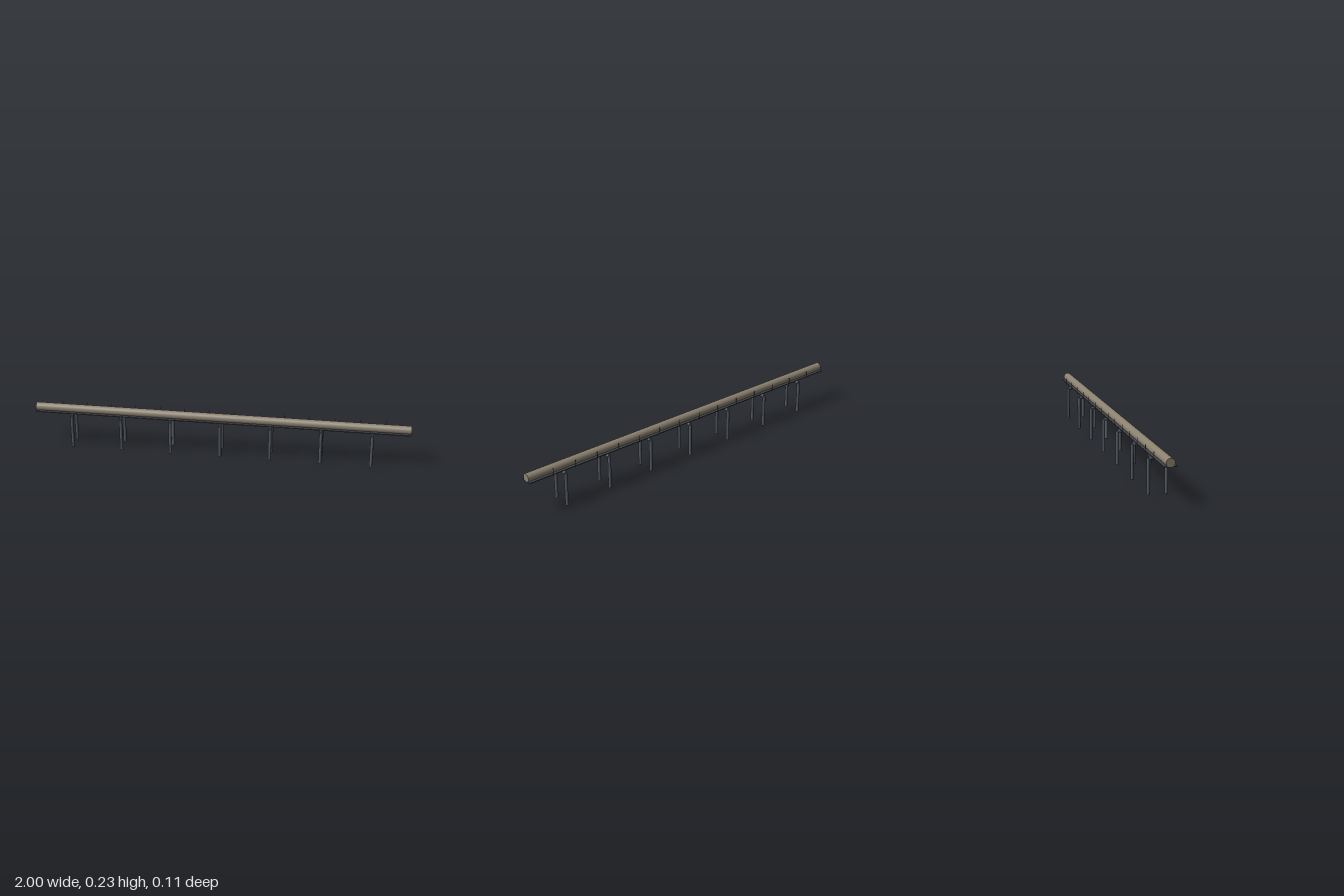
import * as THREE from 'three';

const mat = (color) => new THREE.MeshStandardMaterial({ color });

export function createModel() {
  const model = new THREE.Group();
  model.name = 'pipeRack';
  const pipeMat = mat(0x8b8170), steel = mat(0x555a64), railMat = mat(0x45474a), pinMat = mat(0x55554f);

  const add = (parent, name, geometry, material, x, y, z) => {
    const mesh = new THREE.Mesh(geometry, material);
    mesh.name = name;
    mesh.position.set(x, y, z);
    parent.add(mesh);
    return mesh;
  };

  // long pipe along x
  add(model, 'pipe', new THREE.CylinderGeometry(0.0225, 0.0225, 2, 32).rotateZ(Math.PI / 2), pipeMat, 0, 0.206, 0);

  // twin rails cradling the pipe
  const railGeo = new THREE.BoxGeometry(2, 0.005, 0.022);
  for (const s of [-1, 1]) add(model, s > 0 ? 'frontRail' : 'backRail', railGeo, railMat, 0, 0.1885, s * 0.021);

  // seven goalpost supports
  const legGeo = new THREE.CylinderGeometry(0.0085, 0.0085, 0.179, 16);
  const barGeo = new THREE.CylinderGeometry(0.0085, 0.0085, 0.09, 16).rotateX(Math.PI / 2);
  for (let i = 0; i < 7; i++) {
    const support = new THREE.Group();
    support.name = `support${i + 1}`;
    support.position.x = -0.8 + (i * 1.6) / 6;
    for (const s of [-1, 1]) add(support, s > 0 ? 'frontLeg' : 'backLeg', legGeo, steel, 0, 0.0895, s * 0.045);
    add(support, 'crossBar', barGeo, steel, 0, 0.179, 0);
    model.add(support);
  }

  // row of thin pins behind the pipe
  const pinGeo = new THREE.CylinderGeometry(0.0014, 0.0014, 0.041, 8);
  for (let i = 0; i < 14; i++) add(model, `pin${i + 1}`, pinGeo, pinMat, -0.867 + (i * 1.734) / 13, 0.2065, -0.0385);

  return model;
}
